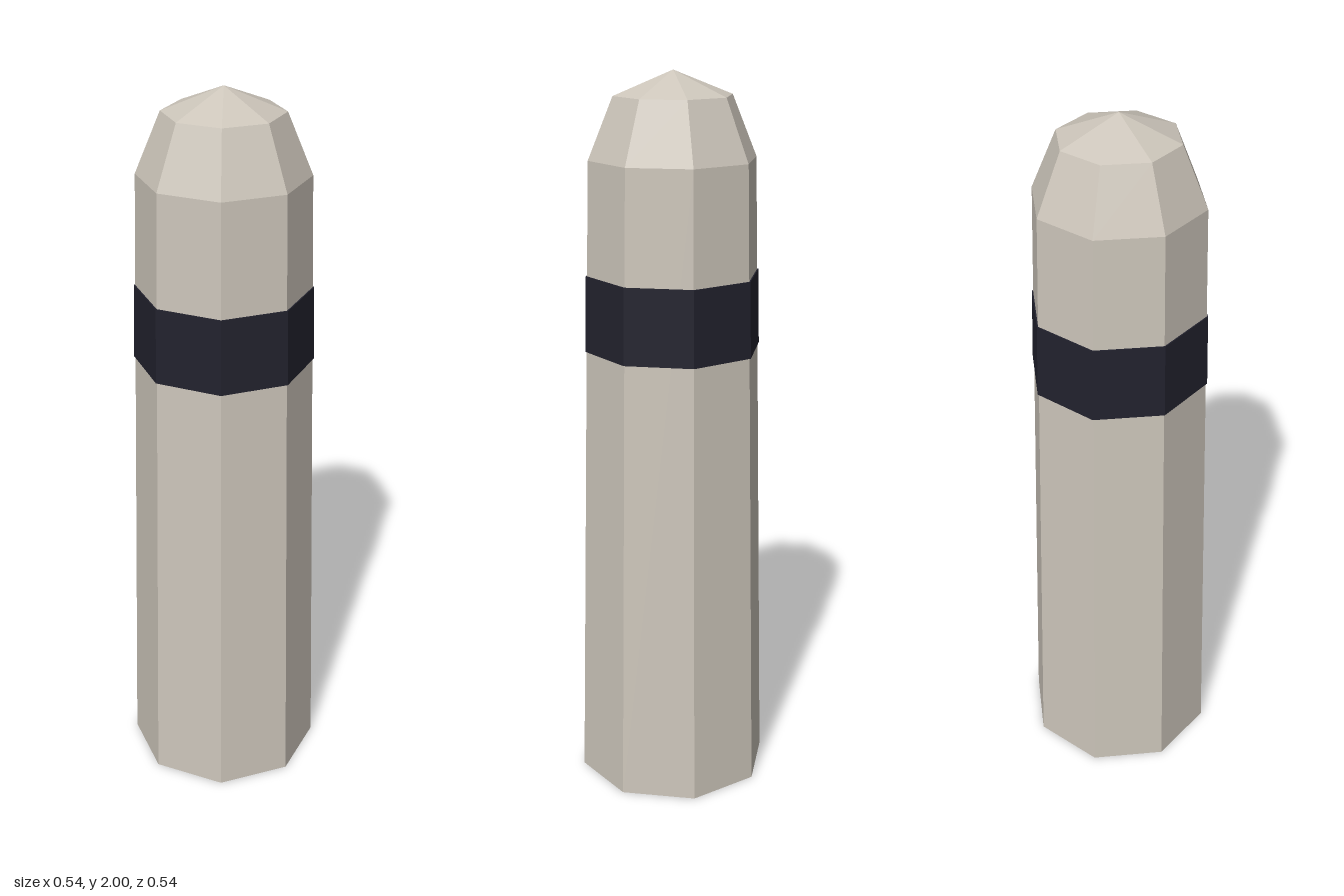
import * as THREE from 'three';

const SIDES = 8;

// Faceted eight-sided frustum between two heights
function frustum(name, material, y0, r0, y1, r1, open) {
  const smooth = new THREE.CylinderGeometry(r1, r0, y1 - y0, SIDES, 1, open);
  const geometry = smooth.toNonIndexed();
  geometry.computeVertexNormals();
  geometry.translate(0, (y0 + y1) / 2, 0);
  const mesh = new THREE.Mesh(geometry, material);
  mesh.name = name;
  return mesh;
}

export function createModel() {
  const stone = new THREE.MeshStandardMaterial({ color: 0xcdc6bb });
  stone.name = 'warm grey stone';
  const dark = new THREE.MeshStandardMaterial({ color: 0x22222e });
  dark.name = 'dark navy band';

  const group = new THREE.Group();
  group.name = 'bollard';

  // Tapered post with its base, then the two-step domed cap
  group.add(frustum('post', stone, 0, 0.27, 1.77, 0.23, false));
  group.add(frustum('capShoulder', stone, 1.77, 0.23, 1.935, 0.162, true));
  group.add(frustum('capTip', stone, 1.935, 0.162, 2, 0, true));

  // Thin band wrapped around the post
  group.add(frustum('band', dark, 1.255, 0.2455, 1.463, 0.2405, false));

  return group;
}
